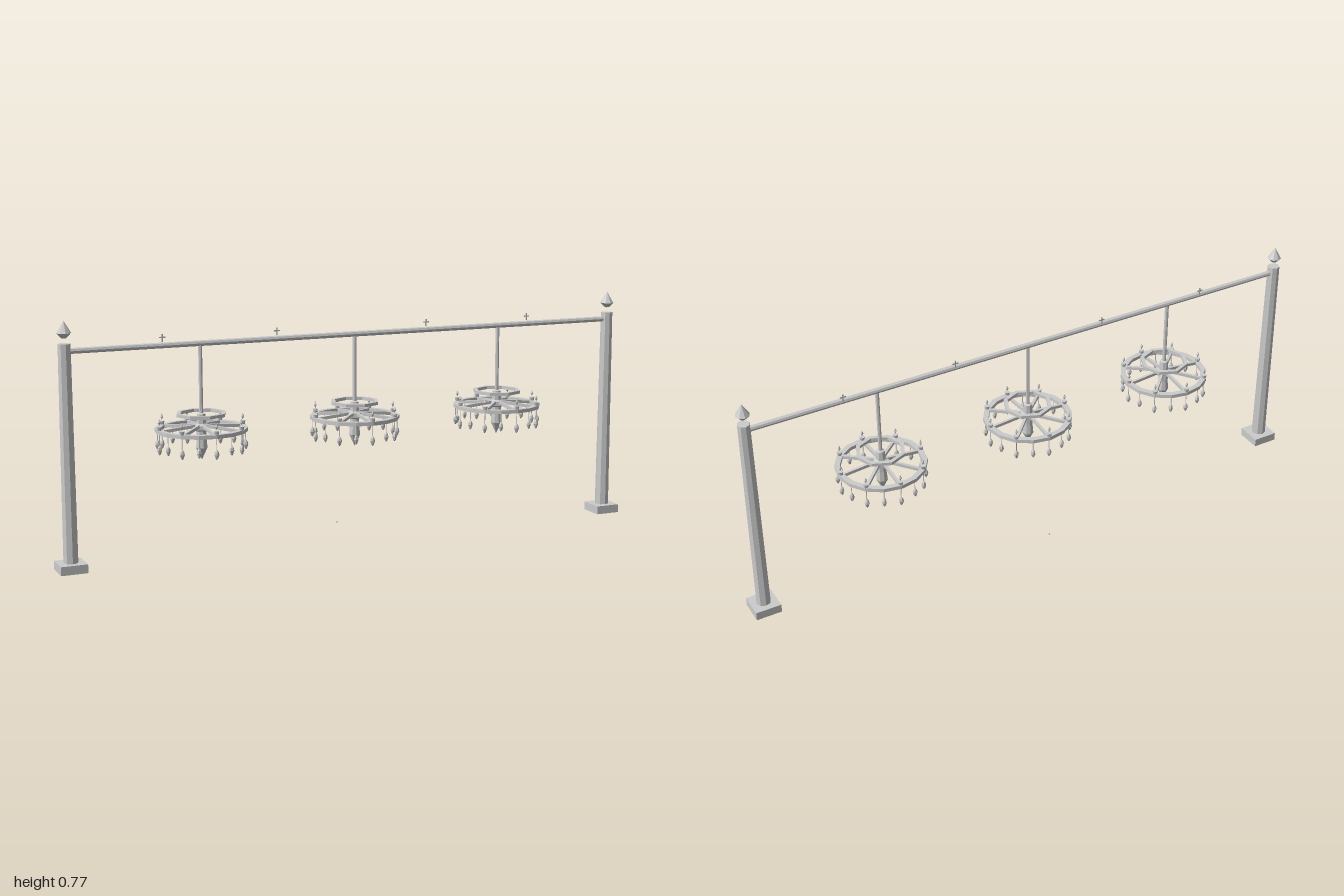
import * as THREE from 'three';

const iron = new THREE.MeshStandardMaterial({ color: 0xcccccc, flatShading: true });
iron.name = 'paleIron';

function add(parent, name, geometry, x = 0, y = 0, z = 0) {
  const mesh = new THREE.Mesh(geometry, iron);
  mesh.name = name;
  mesh.position.set(x, y, z);
  parent.add(mesh);
  return mesh;
}

// Profile given as [radius, height] pairs, listed from bottom to top.
function turned(points, sides) {
  return new THREE.LatheGeometry(points.map(([r, y]) => new THREE.Vector2(r, y)), sides);
}

// Flat hoop with a rectangular section.
function hoop(inner, outer, bottom, top, sides) {
  return turned([[inner, bottom], [outer, bottom], [outer, top], [inner, top], [inner, bottom]], sides);
}

function createPost(x) {
  const post = new THREE.Group();
  post.name = x > 0 ? 'leftPost' : 'rightPost';
  post.position.x = x;
  add(post, 'postBase', new THREE.BoxGeometry(0.085, 0.028, 0.085), 0, 0.014);
  add(post, 'postShaft', new THREE.CylinderGeometry(0.02, 0.0235, 0.677, 8), 0, 0.3665);
  add(post, 'postFinial', turned([[0, 0.722], [0.008, 0.722], [0.023, 0.737], [0, 0.775]], 8));
  return post;
}

function createChandelier(x) {
  const group = new THREE.Group();
  group.name = 'chandelier';
  group.position.x = x;
  add(group, 'hangingRod', new THREE.CylinderGeometry(0.0065, 0.0065, 0.235, 8), 0, 0.5625);
  add(group, 'hub', turned([[0, 0.313], [0.019, 0.352], [0.016, 0.385], [0.016, 0.405],
    [0.025, 0.41], [0.025, 0.424], [0.016, 0.43], [0.014, 0.46], [0, 0.465]], 8));
  add(group, 'upperRing', hoop(0.068, 0.081, 0.454, 0.464, 8));
  add(group, 'lowerRing', hoop(0.128, 0.146, 0.405, 0.417, 16));

  const cup = turned([[0, 0.417], [0.007, 0.417], [0.009, 0.428], [0, 0.428]], 8);
  const flame = turned([[0, 0.432], [0.005, 0.441], [0, 0.453]], 6);
  const drop = turned([[0, 0.345], [0.004, 0.349], [0.008, 0.361], [0.006, 0.37], [0, 0.379]], 6);
  const cord = new THREE.CylinderGeometry(0.0015, 0.0015, 0.035, 4);
  const spoke = new THREE.BoxGeometry(0.009, 0.01, 0.122);

  for (let i = 0; i < 16; i++) {
    const arm = new THREE.Group();
    arm.name = 'ringSection';
    arm.rotation.y = i * Math.PI / 8;
    group.add(arm);
    const even = i % 2 === 0;
    const sag = even ? -0.007 : 0;
    add(arm, 'pendantCord', cord, 0, 0.39 + sag / 2, 0.138);
    add(arm, 'pendantDrop', drop, 0, sag, 0.138);
    // Spokes and candles sit at every second position.
    if (even) {
      add(arm, 'spoke', spoke, 0, 0.417, 0.074).rotation.x = 0.09;
      add(arm, 'candleCup', cup, 0, 0, 0.138);
      add(arm, 'candleFlame', flame, 0, 0, 0.138);
    }
  }
  return group;
}

export function createModel() {
  const model = new THREE.Group();
  model.name = 'chandelierGantry';
  for (const x of [-0.957, 0.957]) model.add(createPost(x));

  // Crossbeam between the posts
  const beam = add(model, 'crossbeam', new THREE.CylinderGeometry(0.009, 0.009, 1.9, 8), 0, 0.682);
  beam.rotation.z = Math.PI / 2;

  // Small crosses along the back of the beam
  for (const x of [-0.645, -0.265, 0.265, 0.645]) {
    const cross = new THREE.Group();
    cross.name = 'beamCross';
    cross.position.set(x, 0.703, -0.014);
    add(cross, 'crossUpright', new THREE.BoxGeometry(0.004, 0.024, 0.003));
    add(cross, 'crossArm', new THREE.BoxGeometry(0.02, 0.004, 0.003), 0, 0.002);
    model.add(cross);
  }

  for (const x of [-0.527, 0, 0.527]) model.add(createChandelier(x));

  // Loose chip behind the middle chandelier
  add(model, 'looseChip', new THREE.BoxGeometry(0.004, 0.004, 0.004), 0, 0.025, -0.144);
  return model;
}
